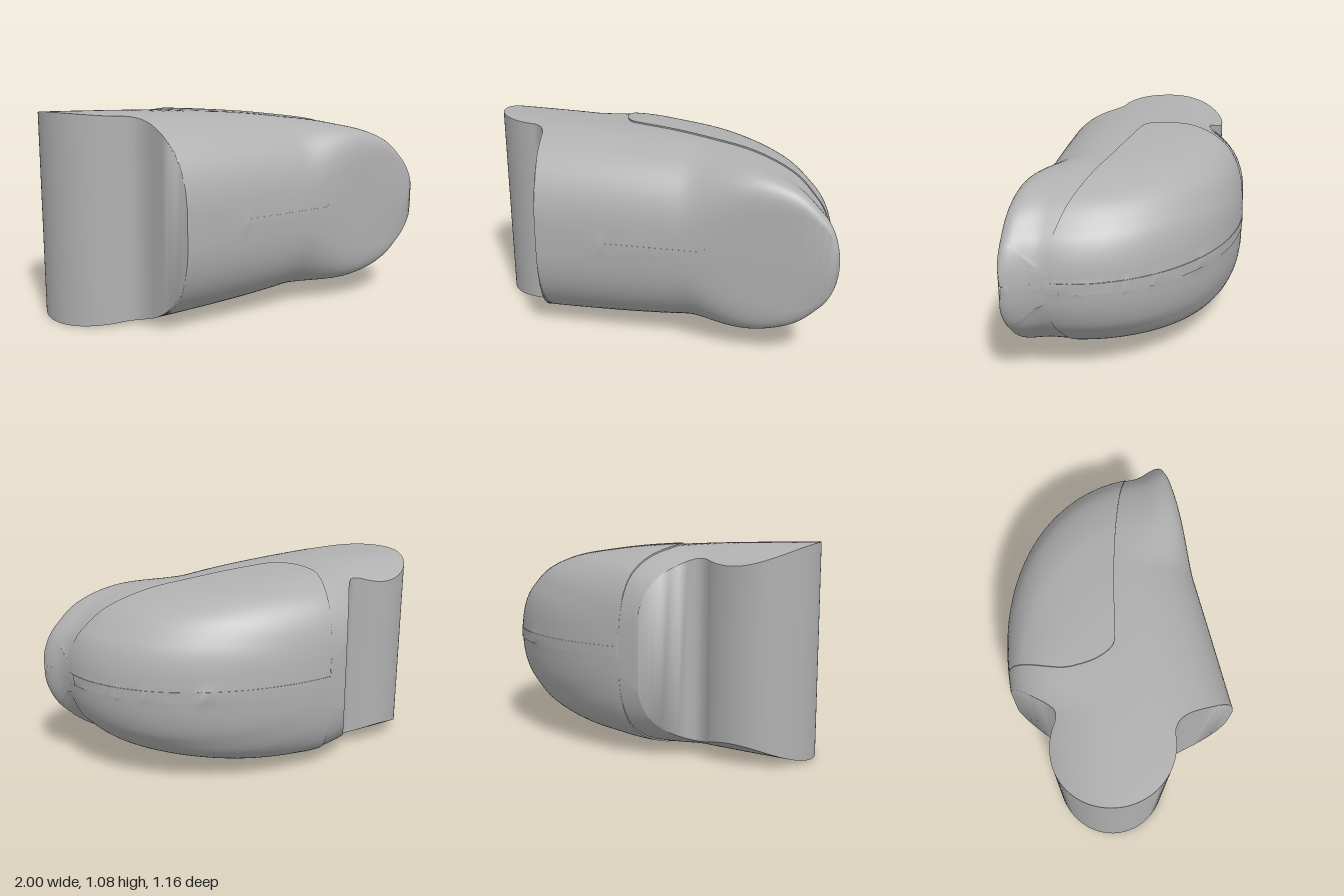
import * as THREE from 'three';
import { toCreasedNormals } from 'three/addons/utils/BufferGeometryUtils.js';

const MID = 0.545; // height of the horizontal symmetry plane
const spline = (pts, n = 160) =>
  new THREE.SplineCurve(pts.map(([a, b]) => new THREE.Vector2(a, b))).getPoints(n).map(p => [p.x, p.y]);
const { clamp, smoothstep, lerp } = THREE.MathUtils;

// linear lookup in a list of pairs, from column k to the other column
function lookup(list, v, k = 0) {
  if (v <= list[0][k]) return list[0][1 - k];
  for (let i = 1; i < list.length; i++) {
    const a = list[i - 1], b = list[i];
    if (v <= b[k]) return a[1 - k] + (b[1 - k] - a[1 - k]) * (v - a[k]) / (b[k] - a[k] || 1);
  }
  return list[list.length - 1][1 - k];
}

// elliptical arc in plan, starting at its left or back extreme
function arc(cx, cz, rx, rz, from, to, n) {
  const out = [];
  for (let i = 0; i <= n; i++) {
    const a = lerp(from, to, i / n);
    out.push([cx + rx * Math.cos(a), cz + rz * Math.sin(a)]);
  }
  return out;
}
// round hinge end; side is -1 at the back and 1 at the front
const hingeArc = (side, angle) => arc(-0.695, -0.105, 0.305, 0.305, Math.PI, Math.PI - side * angle, 40);

// plan outlines [x, z]
const rightCurve = [...arc(-0.15, 0.27, 1.09, 0.85, -Math.PI / 2, 0, 120),
  ...spline([[0.94, 0.272], [0.943, 0.31], [0.956, 0.352], [0.976, 0.392], [0.993, 0.43], [1, 0.46]], 50)];
const backLine = [...hingeArc(-1, 2.05),
  ...spline([[-0.54, -0.366], [-0.515, -0.355], [-0.49, -0.35], [-0.465, -0.356], [-0.43, -0.385]], 20),
  [-0.26, -0.574], ...rightCurve];
const frontLine = [...hingeArc(1, 1.55),
  ...spline([[-0.685, 0.203], [-0.64, 0.232], [-0.61, 0.285], [-0.595, 0.345]], 20),
  [-0.545, 0.576], [0, 0.547], [0.5, 0.512], [0.98, 0.478], [1, 0.465]];
const seam = spline([[-0.28, -0.24], [-0.272, -0.15], [-0.25, -0.08], [-0.21, -0.02], [-0.14, 0.005],
  [0.1, 0.042], [0.4, 0.1], [0.7, 0.18], [0.94, 0.268]]);
const padBack = [[-0.28, -0.24], [-0.275, -0.29], [-0.25, -0.36], [-0.155, -0.578],
  ...rightCurve.map(([x, z]) => [x + 0.003, z - 0.003])];

// half height as a function of the root of the distance to the right edge
const rise = spline([[0, 0], [0.1, 0.1], [0.22, 0.205], [0.32, 0.272], [0.45, 0.36], [0.63, 0.438],
  [0.78, 0.475], [0.95, 0.508], [1.15, 0.53], [1.42, 0.545]]);

function halfHeight(x, z) {
  const t = Math.max(0, lookup(rightCurve, z, 1) - x);
  const g = lookup(rise, Math.sqrt(t));
  // the section is rounder at the hinge and squarer towards the lip
  const n = z < 0 ? lerp(2.6, 4.5, smoothstep(x, -0.5, -0.1)) : lerp(2.6, 11, smoothstep(x, 0.2, 1));
  const edge = z < 0 ? 0.583 : 0.579 - 0.064 * (x + 0.55);
  const r = clamp(Math.abs(z) / edge, 0, 1);
  return clamp(g * Math.pow(1 - Math.pow(r, n), 1 / n), 0.02, 0.545);
}

// stations with finer spacing at both ends of every span
function stations(breaks, counts) {
  const xs = [breaks[0]];
  counts.forEach((n, s) => {
    for (let i = 1; i <= n; i++)
      xs.push(lerp(breaks[s], breaks[s + 1], (1 - Math.cos(Math.PI * i / n)) / 2));
  });
  return xs;
}

// closed rings across x between two plan lines, mirrored above and below
function shell(xs, zBack, zFront, lift) {
  const N = 48, R = 2 * (N + 1), pos = [], idx = [];
  for (const x of xs) {
    const z0 = lookup(zBack, x), z1 = Math.max(z0, lookup(zFront, x)), ring = [];
    for (let j = 0; j <= N; j++) {
      const z = lerp(z0, z1, (1 - Math.cos(Math.PI * j / N)) / 2);
      ring.push([z, halfHeight(x, z) + lift]);
    }
    ring.forEach(([z, h]) => pos.push(x, MID + h, z));
    ring.reverse().forEach(([z, h]) => pos.push(x, MID - h, z));
  }
  for (let i = 0; i < xs.length - 1; i++)
    for (let k = 0; k < R; k++) {
      const a = i * R + k, b = i * R + (k + 1) % R, c = b + R, d = a + R;
      idx.push(a, b, d, b, c, d);
    }
  const g = new THREE.BufferGeometry();
  g.setAttribute('position', new THREE.Float32BufferAttribute(pos, 3));
  g.setIndex(idx);
  return toCreasedNormals(g, 0.9);
}

export function createModel() {
  const group = new THREE.Group();
  const grey = new THREE.MeshStandardMaterial({ color: 0xb0b0b0 });
  grey.name = 'grey';
  const add = (name, geometry) => {
    const mesh = new THREE.Mesh(geometry, grey);
    mesh.name = name;
    group.add(mesh);
  };
  // main shell with round hinge end, flat front and thin lip
  add('body', shell(stations([-1, -0.6, -0.545, -0.26, 0.85, 1], [36, 8, 14, 50, 28]), backLine, frontLine, 0));
  // slightly raised cover wrapped round the back
  add('backPad', shell(stations([-0.28, -0.155, 0.8, 0.94], [16, 46, 24]), padBack, seam, 0.008));
  return group;
}
